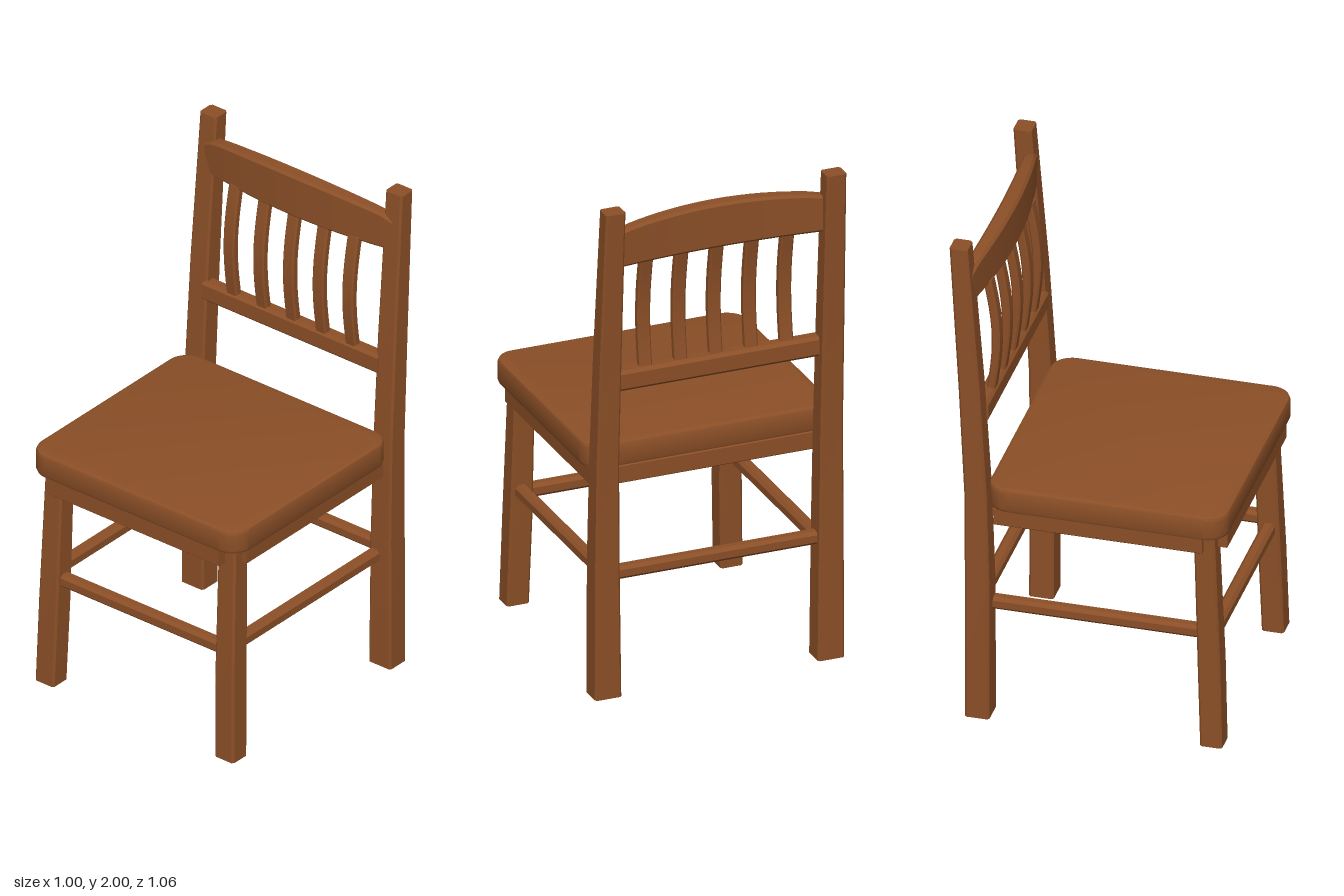
import * as THREE from 'three';
import { toCreasedNormals } from 'three/addons/utils/BufferGeometryUtils.js';

const wood = new THREE.MeshStandardMaterial({ color: 0x8b4f27, side: THREE.DoubleSide });

// Bar along an axis, lofted through chamfered rectangles.
// Each ring is [t, a0, a1, b0, b1]; (t, a, b) is (x, y, z), (y, z, x) or (z, x, y).
function bar(axis, rings, cut = 0.008) {
  const pos = [], idx = [];
  const k = { x: 0, y: 1, z: 2 }[axis];
  const put = (t, a, b) => {
    const p = [0, 0, 0];
    p[k] = t; p[(k + 1) % 3] = a; p[(k + 2) % 3] = b;
    pos.push(...p);
  };
  for (const [t, a0, a1, b0, b1] of rings) {
    const c = cut;
    [[a0 + c, b0], [a1 - c, b0], [a1, b0 + c], [a1, b1 - c],
      [a1 - c, b1], [a0 + c, b1], [a0, b1 - c], [a0, b0 + c]].forEach(([a, b]) => put(t, a, b));
  }
  const last = (rings.length - 1) * 8;
  for (let r = 0; r < last; r += 8) {
    for (let i = 0; i < 8; i++) {
      const j = (i + 1) % 8;
      idx.push(r + i, r + j, r + 8 + j, r + i, r + 8 + j, r + 8 + i);
    }
  }
  for (let i = 1; i < 7; i++) idx.push(0, i + 1, i, last, last + i, last + i + 1);
  const g = new THREE.BufferGeometry();
  g.setAttribute('position', new THREE.Float32BufferAttribute(pos, 3));
  g.setIndex(idx);
  return toCreasedNormals(g, 0.4);
}

// Straight bar between two positions
const straight = (axis, t0, t1, a0, a1, b0, b1, cut) =>
  bar(axis, [[t0, a0, a1, b0, b1], [t1, a0, a1, b0, b1]], cut);

// Values sampled evenly from lo to hi
const steps = (n, lo, hi, fn) =>
  Array.from({ length: n + 1 }, (_, i) => fn(lo + (hi - lo) * i / n, i / n));

function seatGeometry() {
  const bevel = 0.015, x = 0.5 - bevel, z0 = -0.39 + bevel, z1 = 0.53 - bevel, r = 0.07;
  const s = new THREE.Shape();
  s.absarc(x - r, -z0 - r, r, 0, Math.PI / 2);
  s.absarc(-x + r, -z0 - r, r, Math.PI / 2, Math.PI);
  s.absarc(-x + r, -z1 + r, r, Math.PI, Math.PI * 1.5);
  s.absarc(x - r, -z1 + r, r, Math.PI * 1.5, Math.PI * 2);
  s.closePath();
  const g = new THREE.ExtrudeGeometry(s, {
    depth: 0.1 - 2 * bevel, bevelThickness: bevel, bevelSize: bevel, bevelSegments: 2, curveSegments: 8,
  });
  g.rotateX(-Math.PI / 2).translate(0, 0.9 + bevel, 0);
  return toCreasedNormals(g, 0.4);
}

export function createModel() {
  const chair = new THREE.Group();
  chair.name = 'chair';
  const add = (name, geometry) => {
    const m = new THREE.Mesh(geometry, wood);
    m.name = name;
    chair.add(m);
  };

  add('seat', seatGeometry());

  for (const side of [1, -1]) {
    const label = side > 0 ? 'left' : 'right';
    // x range mirrored to the chosen side
    const xs = (inner, outer) => (side > 0 ? [inner, outer] : [-outer, -inner]);

    // Splayed front leg
    add(label + 'FrontLeg', bar('y', [
      [0, 0.43, 0.515, ...xs(0.385, 0.475)],
      [0.35, 0.418, 0.505, ...xs(0.376, 0.467)],
      [0.91, 0.40, 0.48, ...xs(0.373, 0.455)],
    ]));

    // Back leg and post, upright below the seat and raked above
    add(label + 'BackPost', bar('y', [
      [0, -0.467, -0.372, ...xs(0.395, 0.502)],
      [0.55, -0.467, -0.372, ...xs(0.402, 0.5)],
      [0.95, -0.47, -0.384, ...xs(0.405, 0.496)],
      [1.4, -0.493, -0.412, ...xs(0.405, 0.492)],
      [2, -0.53, -0.46, ...xs(0.405, 0.484)],
    ]));

    add(label + 'Apron', straight('z', -0.36, 0.44, ...xs(0.44, 0.48), 0.832, 0.905, 0.004));
    add(label + 'Stretcher', straight('z', -0.39, 0.44, ...xs(0.4, 0.45), 0.445, 0.497, 0.012));
  }

  add('frontApron', straight('x', -0.41, 0.41, 0.832, 0.905, 0.475, 0.52, 0.004));
  add('backApron', straight('x', -0.42, 0.42, 0.832, 0.905, -0.39, -0.35, 0.004));
  add('frontStretcher', straight('x', -0.4, 0.4, 0.422, 0.475, 0.435, 0.485, 0.012));
  add('backStretcher', straight('x', -0.42, 0.42, 0.465, 0.517, -0.445, -0.395, 0.012));

  // Straight lower back rail
  add('lowerBackRail', straight('x', -0.42, 0.42, 1.235, 1.317, -0.455, -0.397, 0.012));

  // Top rail, bowed forward with an arched upper edge
  add('topRail', bar('x', steps(20, -0.45, 0.45, x => {
    const u = (x / 0.45) ** 2;
    const drop = 0.035 * u + 0.015 * u ** 8;
    return [x, 1.758, 1.937 - drop, -0.465 - 0.03 * u, -0.403 - 0.045 * u];
  }), 0.01));

  // Bowed back slats
  for (let i = -2; i <= 2; i++) {
    const x = i * 0.142;
    add('slat', bar('y', steps(12, 1.3, 1.775, (y, t) => {
      const z = -0.405 - 0.012 * t + 0.027 * Math.sin(Math.PI * t);
      return [y, z - 0.032, z, x - 0.026, x + 0.026];
    }), 0.006));
  }

  return chair;
}
